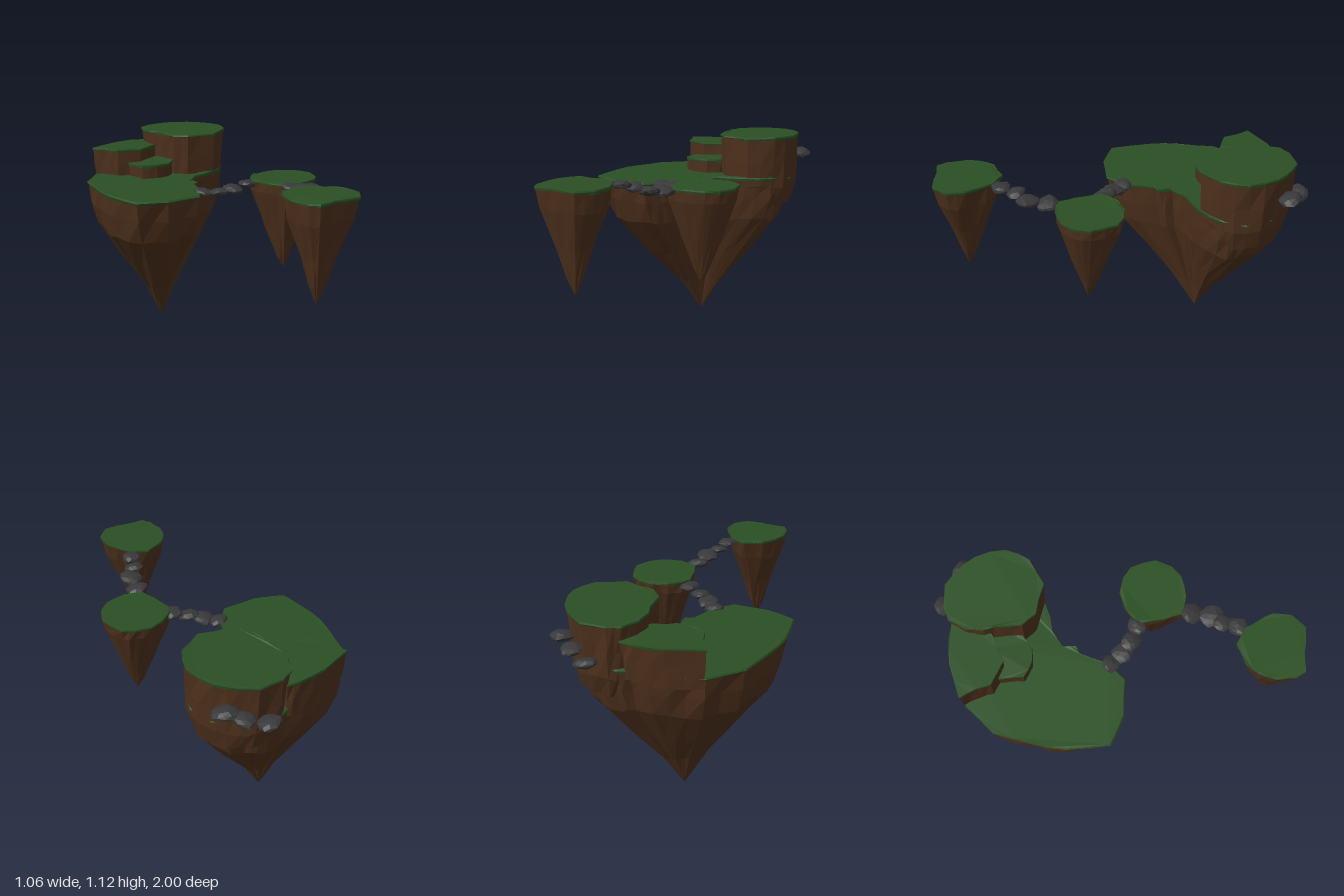
import * as THREE from 'three';

const DIRT = new THREE.MeshStandardMaterial({ color: 0x4d301c, flatShading: true });
const GRASS = new THREE.MeshStandardMaterial({ color: 0x2b4f24, flatShading: true });
const STONE = new THREE.MeshStandardMaterial({ color: 0x38383a, flatShading: true });

// Repeatable noise in 0..1
function noise(a, b = 0, c = 0) {
  const s = Math.sin(a * 127.1 + b * 311.7 + c * 74.7) * 43758.5453;
  return s - Math.floor(s);
}

// Outline of [x, z] pairs, made counter-clockwise from above, with midpoints nudged for ribs
function prepare(pairs) {
  let pts = pairs.map(([x, z]) => new THREE.Vector2(x, -z));
  if (THREE.ShapeUtils.area(pts) < 0) pts.reverse();
  return pts.flatMap((p, i) => {
    const q = pts[(i + 1) % pts.length];
    const d = q.clone().sub(p);
    const mid = p.clone().add(q).multiplyScalar(0.5);
    const out = (noise(i, pts.length) - 0.4) * 0.1;
    return [p.clone(), mid.add(new THREE.Vector2(d.y, -d.x).multiplyScalar(out))];
  });
}

// Joins rings (arrays of Vector3, top first) into a closed body
function loft(rings, flat, material, name) {
  const n = flat.length;
  const pos = rings.flat().flatMap((v) => [v.x, v.y, v.z]);
  const index = [];
  const last = (rings.length - 1) * n;
  for (let r = 0; r < rings.length - 1; r++) {
    for (let i = 0; i < n; i++) {
      const j = (i + 1) % n, t = r * n, b = t + n;
      index.push(b + i, b + j, t + j, b + i, t + j, t + i);
    }
  }
  for (const [a, b, c] of THREE.ShapeUtils.triangulateShape(flat, [])) {
    index.push(a, b, c, last + c, last + b, last + a);
  }
  const geo = new THREE.BufferGeometry();
  geo.setAttribute('position', new THREE.Float32BufferAttribute(pos, 3));
  geo.setIndex(index);
  geo.computeVertexNormals();
  const mesh = new THREE.Mesh(geo, material);
  mesh.name = name;
  return mesh;
}

// Earth body shrinking towards a centre, capped by a thin slab of turf
function land(name, outline, top, centre, rows) {
  const group = new THREE.Group();
  group.name = name;
  const flat = prepare(outline);
  const [cx, cz] = centre;
  const ring = (scaleAt, heightAt) => flat.map((p, i) => {
    const s = scaleAt(i);
    return new THREE.Vector3(cx + (p.x - cx) * s, heightAt(i), cz + (-p.y - cz) * s);
  });
  const body = rows.map(([y, s], r) => ring(
    (i) => s * (r ? 1 + (noise(i, r) - 0.5) * 0.05 + (noise(i, 9) - 0.5) * 0.07 : 1),
    (i) => y + (r && s > 0.1 && s < 0.95 ? (noise(i, r, 3) - 0.5) * 0.03 : 0)));
  group.add(loft(body, flat, DIRT, 'earth'));
  const lift = (i) => (noise(Math.floor(i / 2), outline.length) - 0.5) * 0.01;
  group.add(loft([
    ring(() => 1, (i) => top + lift(i)),
    ring(() => 1.012, (i) => top - 0.008 + lift(i)),
    ring(() => 1.0, (i) => top - 0.015 - noise(i, 5) * 0.008),
  ], flat, GRASS, 'grass'));
  return group;
}

// Flattened, chipped boulders: [x, y, z, radius]
function boulders(name, list) {
  const group = new THREE.Group();
  group.name = name;
  list.forEach(([x, y, z, r], k) => {
    const geo = new THREE.IcosahedronGeometry(1, 1);
    const p = geo.attributes.position;
    const v = new THREE.Vector3();
    for (let i = 0; i < p.count; i++) {
      v.fromBufferAttribute(p, i);
      const key = [v.x, v.y, v.z].map((c) => Math.round(c * 100) / 100);
      v.multiplyScalar(0.88 + 0.22 * noise(key[0] + k, key[1], key[2]));
      p.setXYZ(i, v.x, v.y, v.z);
    }
    geo.computeVertexNormals();
    const mesh = new THREE.Mesh(geo, STONE);
    mesh.name = 'boulder';
    mesh.position.set(x, y, z);
    mesh.scale.set(r, r * 0.4, r * 0.95);
    mesh.rotation.set((noise(k, 1) - 0.5) * 0.4, k * 1.3, (noise(k, 2) - 0.5) * 0.4);
    group.add(mesh);
  });
  return group;
}

export function createModel() {
  const model = new THREE.Group();
  model.name = 'floatingIslands';

  // Large island, a deep cone under a curved meadow
  model.add(land('mainIsland', [
    [-0.51, -0.05], [-0.35, 0.02], [-0.15, 0.03], [-0.09, -0.03], [-0.05, -0.08], [0, -0.21],
    [0.04, -0.23], [0.04, -0.3], [0.13, -0.36], [0.29, -0.4], [0.42, -0.48], [0.48, -0.6],
    [0.45, -0.74], [0.35, -0.84], [0.29, -0.89], [0.17, -0.89], [0.09, -0.87], [-0.11, -0.86],
    [-0.29, -0.81], [-0.44, -0.66], [-0.5, -0.45], [-0.53, -0.28],
  ], 0.875, [-0.045, -0.49], [
    [0.862, 0.99], [0.75, 0.95], [0.62, 0.87], [0.4, 0.54], [0.2, 0.235], [0.05, 0.065], [0, 0.004],
  ]));

  // Raised plateaus standing on the large island
  model.add(land('highPlateau', [
    [0.05, -0.79], [0.1, -0.88], [0.17, -0.91], [0.3, -0.91], [0.37, -0.86], [0.46, -0.76],
    [0.5, -0.6], [0.44, -0.47], [0.3, -0.39], [0.13, -0.43], [0.07, -0.5], [0.06, -0.64], [0.04, -0.7],
  ], 1.115, [0.27, -0.65], [[1.1, 0.985], [0.96, 0.96], [0.82, 0.94], [0.7, 0.8]]));
  model.add(land('middlePlateau', [
    [-0.3, -0.82], [-0.25, -0.73], [-0.23, -0.66], [-0.1, -0.6], [0.04, -0.66], [0.09, -0.7],
    [0.12, -0.88], [0.04, -0.89], [-0.11, -0.88],
  ], 1.035, [-0.08, -0.74], [[1.02, 0.985], [0.93, 0.97], [0.82, 0.94]]));
  model.add(land('lowStep', [
    [-0.17, -0.63], [-0.16, -0.5], [-0.08, -0.46], [0, -0.46], [0.07, -0.51], [0.08, -0.66], [-0.08, -0.68],
  ], 0.955, [-0.05, -0.57], [[0.94, 0.985], [0.84, 0.96]]));

  // Two small pointed islands
  model.add(land('middleIsland', [
    [0.15, 0.13], [0.18, 0.08], [0.25, 0.03], [0.33, 0.01], [0.42, 0.03], [0.48, 0.07],
    [0.52, 0.21], [0.48, 0.3], [0.42, 0.35], [0.3, 0.37], [0.2, 0.35], [0.17, 0.25],
  ], 0.94, [0.33, 0.21], [
    [0.925, 0.985], [0.87, 0.95], [0.65, 0.54], [0.48, 0.2], [0.43, 0.07], [0.41, 0.01],
  ]));
  model.add(land('frontIsland', [
    [-0.21, 0.82], [-0.18, 0.73], [-0.12, 0.66], [-0.01, 0.62], [0.08, 0.67], [0.12, 0.74],
    [0.16, 0.82], [0.15, 0.92], [0.08, 0.99], [-0.07, 0.97], [-0.17, 0.97], [-0.2, 0.92],
  ], 1.015, [-0.04, 0.84], [
    [1.0, 0.985], [0.9, 0.87], [0.7, 0.48], [0.55, 0.24], [0.47, 0.07], [0.45, 0.01],
  ]));

  // Stepping-stone bridges and the loose ledge at the back
  model.add(boulders('rearBridge', [
    [-0.06, 0.865, -0.04, 0.055], [0, 0.87, 0.02, 0.062], [0.065, 0.885, 0.07, 0.06], [0.145, 0.91, 0.1, 0.055],
  ]));
  model.add(boulders('frontBridge', [
    [0.2, 0.93, 0.4, 0.065], [0.18, 0.945, 0.5, 0.068], [0.13, 0.97, 0.56, 0.055], [0.1, 0.992, 0.635, 0.056],
  ]));
  model.add(boulders('backLedge', [
    [0.265, 0.92, -0.945, 0.062], [0.37, 0.95, -0.89, 0.058], [0.445, 0.985, -0.835, 0.068],
  ]));
  return model;
}
